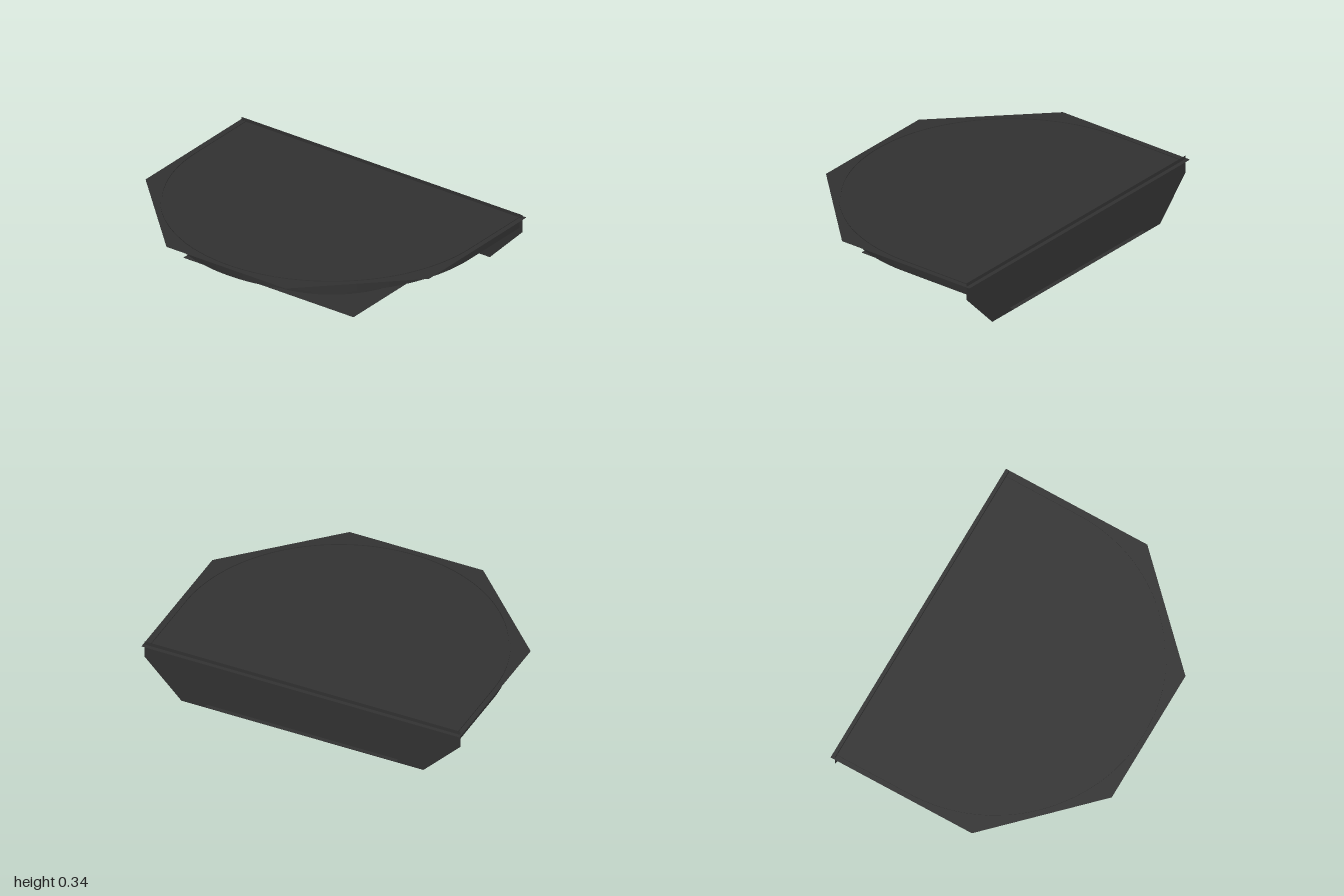
import * as THREE from 'three';

const CENTRE = 0.25;  // x of the rounded ends' centre
const WALL = 0.725;   // wall panel plane
const OVERHANG = 0.75; // sheets pass just through the wall panel
const THICKNESS = 0.01; // of the curved bands

export function createModel() {
  const group = new THREE.Group();
  const charcoal = new THREE.MeshStandardMaterial({ color: 0x323232, side: THREE.DoubleSide });
  charcoal.name = 'charcoal';

  const add = (name, geometry) => {
    const mesh = new THREE.Mesh(geometry, charcoal);
    mesh.name = name;
    group.add(mesh);
    return mesh;
  };
  const polygon = (points) => new THREE.Shape(points.map(([a, b]) => new THREE.Vector2(a, b)));

  // Open U-shaped band: straight sides from the wall, half-round end
  const band = (name, radius, bottom, top) => {
    const inner = radius - THICKNESS;
    const shape = new THREE.Shape();
    shape.moveTo(WALL, radius);
    shape.lineTo(CENTRE, radius);
    shape.absarc(CENTRE, 0, radius, Math.PI / 2, Math.PI * 1.5, false);
    shape.lineTo(WALL, -radius);
    shape.lineTo(WALL, -inner);
    shape.lineTo(CENTRE, -inner);
    shape.absarc(CENTRE, 0, inner, Math.PI * 1.5, Math.PI / 2, true);
    shape.lineTo(WALL, inner);
    shape.closePath();
    const geometry = new THREE.ExtrudeGeometry(shape, {
      depth: top - bottom, bevelEnabled: false, curveSegments: 64,
    });
    geometry.rotateX(-Math.PI / 2).translate(0, bottom, 0);
    add(name, geometry);
  };

  // Thin horizontal sheet
  const sheet = (name, points, y) => add(name,
    new THREE.ShapeGeometry(polygon(points)).rotateX(-Math.PI / 2).translate(0, y, 0));

  // Three bands, the top one larger and taller
  band('topBand', 0.97, 0.255, 0.325);
  band('middleBand', 0.572, 0.145, 0.165);
  band('lowerBand', 0.572, 0.025, 0.045);

  // Chamfered top sheet and rectangular bottom sheet
  sheet('topSheet', [
    [OVERHANG, -1], [OVERHANG, 1], [-0.17, 1], [-0.75, 0.42], [-0.75, -0.42], [-0.17, -1],
  ], 0.32);
  sheet('lowerSheet', [
    [OVERHANG, -0.6], [OVERHANG, 0.6], [-0.35, 0.6], [-0.35, -0.6],
  ], 0.023);

  // Wall panel with cut lower corners
  add('wallPanel', new THREE.ShapeGeometry(polygon([
    [-0.76, 0], [0.76, 0], [0.992, 0.235], [0.992, 0.342], [-0.992, 0.342], [-0.992, 0.235],
  ])).rotateY(Math.PI / 2).translate(WALL, 0, 0));

  // Small plates set into the curved band
  [-60, -20, 20, 60].forEach((degrees) => {
    const a = THREE.MathUtils.degToRad(degrees);
    const plate = add('bandPlate', new THREE.BoxGeometry(0.006, 0.046, 0.112));
    plate.position.set(CENTRE - Math.cos(a) * 0.968, 0.3, Math.sin(a) * 0.968);
    plate.rotation.y = a;
  });

  return group;
}
